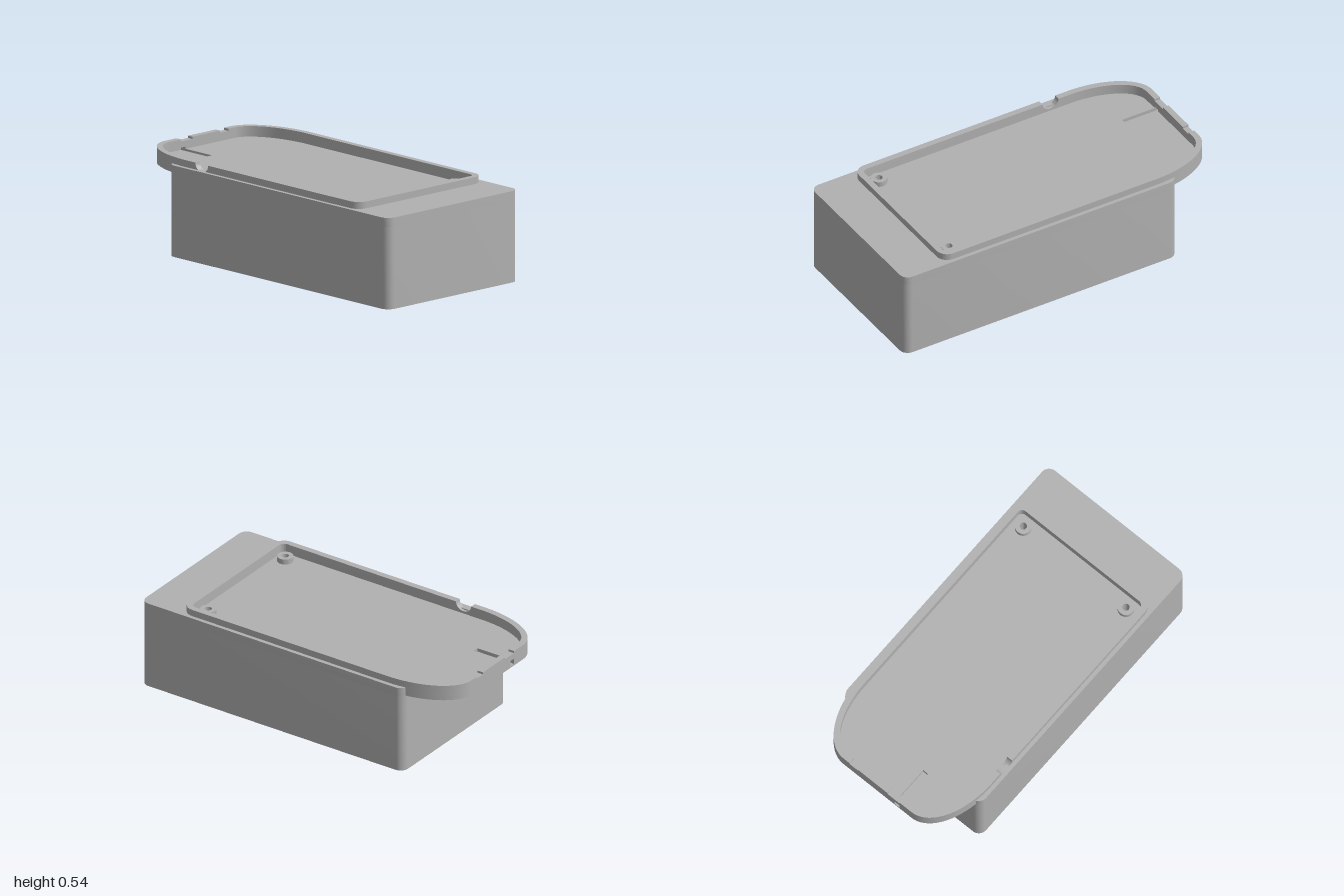
import * as THREE from 'three';
import { toCreasedNormals } from 'three/addons/utils/BufferGeometryUtils.js';

const BASE = 0.455, FLOOR = 0.485, DECK = 0.505, RIM = 0.543, WALL = 0.035;
const HOLES = [[-0.36, 0.645], [0.36, 0.645]];
const HOLE_R = 0.02;

// Points of an elliptical arc in plan (x, z)
function arc(cx, cz, rx, rz, from, to, n) {
  return Array.from({ length: n + 1 }, (_, i) => {
    const t = from + (to - from) * i / n;
    return [cx + rx * Math.cos(t), cz - rz * Math.sin(t)];
  });
}

// Tray outline, inset by d, counter-clockwise from above: [x, z, wall top, wall bottom]
function trayOutline(d) {
  const H = Math.PI / 2, r = 0.065 - d, rx = 0.223 - d, rz = 0.4 - d;
  const cx = 0.463 - 0.065, cz = 0.745 - 0.065, z = -1 + d, dip = RIM - 0.012, lintel = 0.497;
  const plain = (pts) => pts.map(([x, pz]) => [x, pz, RIM, FLOOR]);
  const side = -0.463 + d;
  const scoop = arc(-0.477, 0, 0.05, 0.045, Math.PI, 0, 16)
    .map(([pz, drop]) => [side, pz, RIM + drop, FLOOR]);
  return [
    ...plain(arc(0.24, -0.6, rx, rz, 0, H, 24)),
    // shallow dips in the back rim and the opening over the slot
    [0.195, z, RIM, FLOOR], [0.195, z, dip, FLOOR],
    [0.135, z, dip, FLOOR], [0.135, z, RIM, FLOOR],
    [-0.07, z, RIM, FLOOR], [-0.07, z, dip, FLOOR],
    [-0.12, z, dip, FLOOR], [-0.12, z, dip, lintel],
    [-0.155, z, dip, lintel], [-0.155, z, RIM, FLOOR],
    ...plain(arc(-0.24, -0.6, rx, rz, H, 2 * H, 24)),
    // round notch in the right wall
    ...scoop,
    ...plain(arc(-cx, cz, r, r, 2 * H, 3 * H, 8)),
    ...plain(arc(cx, cz, r, r, 3 * H, 4 * H, 8)),
  ];
}

// Body outline, starting and ending on the back edge
function bodyOutline() {
  const H = Math.PI / 2, r = 0.05, x = 0.485 - r, f = 1 - r, b = -0.72 + r;
  return [
    ...arc(-x, b, r, r, H, 2 * H, 8), ...arc(-x, f, r, r, 2 * H, 3 * H, 8),
    ...arc(x, f, r, r, 3 * H, 4 * H, 8), ...arc(x, b, r, r, 0, H, 8),
  ];
}

// Extrude a plan outline upwards from y0 to y1
function slab(points, y0, y1, holes = []) {
  const clean = points.filter((p, i) => {
    const q = points[(i + points.length - 1) % points.length];
    return Math.hypot(p[0] - q[0], p[1] - q[1]) > 1e-6;
  });
  const shape = new THREE.Shape(clean.map(([x, z]) => new THREE.Vector2(x, -z)));
  for (const [x, z] of holes) {
    shape.holes.push(new THREE.Path().absarc(x, -z, HOLE_R, 0, Math.PI * 2, true));
  }
  const g = new THREE.ExtrudeGeometry(shape, { depth: y1 - y0, bevelEnabled: false, curveSegments: 24 });
  g.rotateX(-Math.PI / 2).translate(0, y0, 0);
  return toCreasedNormals(g, 0.5);
}

// Upright wall whose top and bottom follow the outline's heights
function wallGeometry() {
  const outer = trayOutline(0), inner = trayOutline(WALL), pos = [];
  const quad = (a, b, c, d) => pos.push(...a, ...b, ...c, ...a, ...c, ...d);
  const top = (p) => [p[0], p[2], p[1]], bot = (p) => [p[0], p[3], p[1]];
  outer.forEach((oa, i) => {
    const j = (i + 1) % outer.length;
    const ob = outer[j], ia = inner[i], ib = inner[j];
    quad(bot(oa), bot(ob), top(ob), top(oa));
    quad(bot(ib), bot(ia), top(ia), top(ib));
    quad(top(oa), top(ob), top(ib), top(ia));
    quad(bot(ia), bot(ib), bot(ob), bot(oa));
  });
  const g = new THREE.BufferGeometry();
  g.setAttribute('position', new THREE.Float32BufferAttribute(pos, 3));
  g.computeVertexNormals();
  return toCreasedNormals(g, 0.5);
}

export function createModel() {
  const model = new THREE.Group();
  model.name = 'enclosureBase';
  const grey = new THREE.MeshStandardMaterial({ color: 0xb0b0b0 });
  grey.name = 'plain grey';
  const add = (name, geometry) => {
    const mesh = new THREE.Mesh(geometry, grey);
    mesh.name = name;
    model.add(mesh);
  };

  // Solid block with two screw holes, and the deck around the tray
  const body = bodyOutline();
  add('body', slab(body, 0, BASE, HOLES));
  const deckInner = [[0.445, -0.6], [0.445, 0.72], [-0.445, 0.72], [-0.445, -0.6]];
  add('deck', slab([...body, ...deckInner], BASE, DECK));

  // Tray floor in two layers, the upper one cut by the slot
  const outline = trayOutline(0);
  add('trayBottom', slab(outline, BASE, BASE + 0.01, HOLES));
  const slotted = outline.map(([x, z, , bottom]) => [x, bottom > FLOOR ? -0.76 : z]);
  add('trayFloor', slab(slotted, BASE + 0.01, FLOOR, HOLES));
  add('trayWall', wallGeometry());

  // Screw bosses
  for (const [x, z] of HOLES) {
    add('screwBoss', slab(arc(x, z, 0.045, 0.045, 0, Math.PI * 2, 32).slice(0, -1), FLOOR, 0.515, [[x, z]]));
  }
  return model;
}
